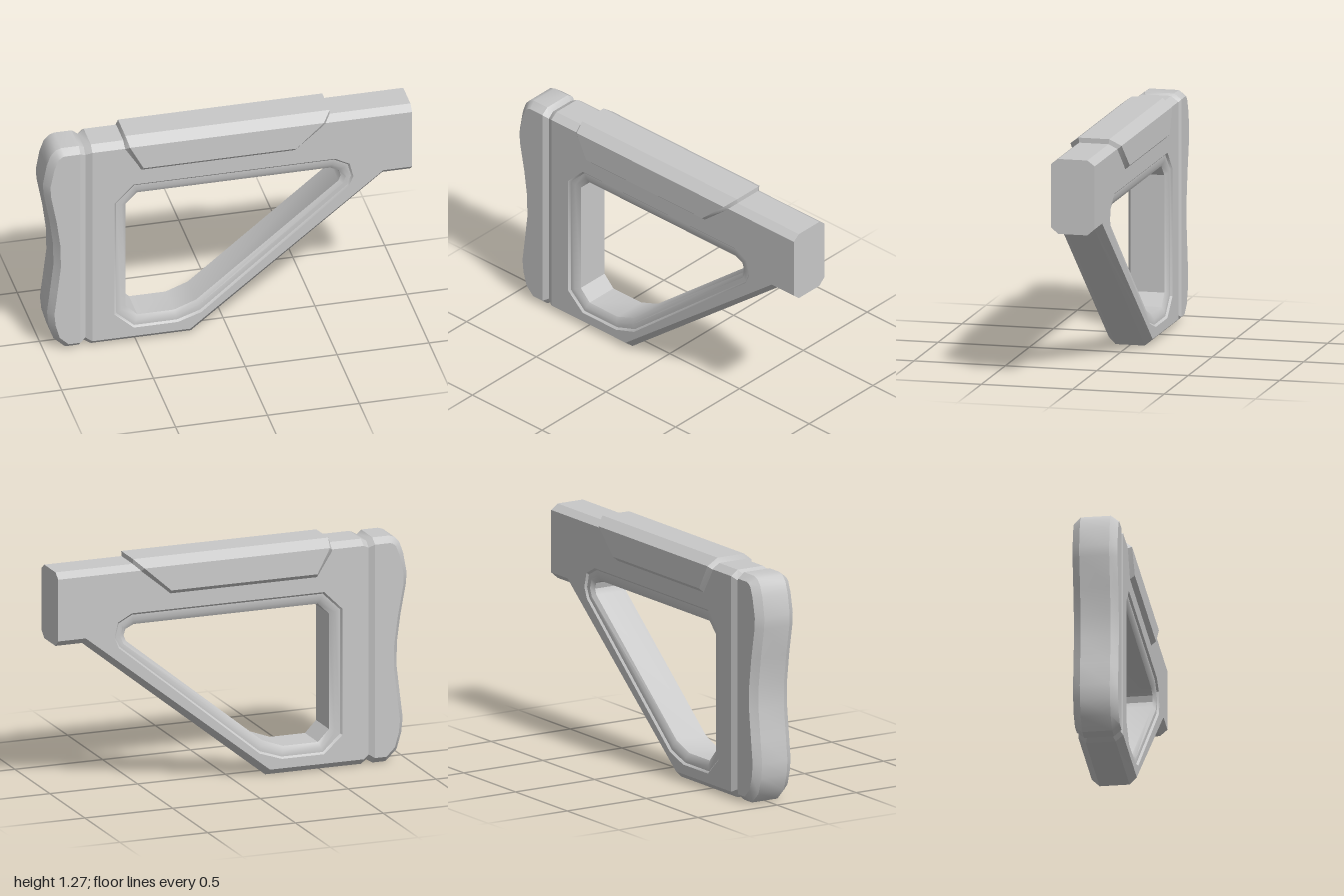
import * as THREE from 'three';
import { mergeGeometries, toCreasedNormals } from 'three/addons/utils/BufferGeometryUtils.js';

// Skin a grid of points: rows of equal length, optionally closed along each row
function skin(rows, closed = false) {
  const pos = [];
  const n = rows[0].length;
  for (let r = 0; r < rows.length - 1; r++) {
    for (let i = 0; i < (closed ? n : n - 1); i++) {
      const j = (i + 1) % n;
      const a = rows[r][i], b = rows[r][j], c = rows[r + 1][j], d = rows[r + 1][i];
      pos.push(...a, ...b, ...c, ...a, ...c, ...d);
    }
  }
  const g = new THREE.BufferGeometry();
  g.setAttribute('position', new THREE.Float32BufferAttribute(pos, 3));
  g.computeVertexNormals();
  return g;
}

const atZ = (pts, z) => pts.map(([x, y]) => [x, y, z]);
const toVec = (pts) => pts.map(([x, y]) => new THREE.Vector2(x, y));

// Flat side wall facing +z (sign 1) or -z (sign -1)
function sideFace(outline, hole, z, sign) {
  const shape = new THREE.Shape(toVec(outline));
  if (hole) shape.holes.push(new THREE.Path(toVec(hole)));
  const g = new THREE.ShapeGeometry(shape);
  if (sign < 0) g.setIndex(Array.from(g.index.array).reverse());
  g.translate(0, 0, sign * z);
  const flat = g.toNonIndexed();
  flat.deleteAttribute('uv');
  flat.computeVertexNormals();
  return flat;
}

const HALF = 0.12; // half thickness at the side walls
const EDGE = 0.08; // half thickness where the chamfer ends

// Chamfered slab between an outer silhouette and an inset side outline
function slab(outer, inner, hole) {
  return [
    skin([atZ(inner, -HALF), atZ(outer, -EDGE), atZ(outer, EDGE), atZ(inner, HALF)]),
    sideFace(inner, hole, HALF, 1),
    sideFace(inner, hole, HALF, -1),
  ];
}

export function createModel() {
  const group = new THREE.Group();
  const grey = new THREE.MeshStandardMaterial({ color: 0xc8c8c8 });
  grey.name = 'lightGrey';
  const add = (name, parts) => {
    const mesh = new THREE.Mesh(toCreasedNormals(mergeGeometries(parts), 0.58), grey);
    mesh.name = name;
    group.add(mesh);
  };

  // Triangular opening: border of the recess, and the opening itself
  const border = [[-0.62, 0.876], [-0.515, 0.98], [0.58, 0.98], [0.66, 0.937], [0.68, 0.857],
    [0.655, 0.797], [-0.147, 0.13], [-0.275, 0.087], [-0.515, 0.087], [-0.62, 0.183]];
  const opening = [[-0.553, 0.85], [-0.49, 0.912], [0.56, 0.912], [0.607, 0.89], [0.617, 0.857],
    [0.605, 0.825], [-0.17, 0.195], [-0.29, 0.15], [-0.49, 0.15], [-0.553, 0.215]];
  const between = (t) => border.map(([x, y], i) =>
    [x + (opening[i][0] - x) * t, y + (opening[i][1] - y) * t]);
  const steps = [[0, HALF], [0.16, 0.109], [0.6, 0.109], [1, 0.093]];
  const holeRows = [
    ...steps.map(([t, z]) => atZ(between(t), -z)),
    ...steps.slice().reverse().map(([t, z]) => atZ(between(t), z)),
  ];

  // Frame with chamfered top and bottom edges
  const frameOuter = [[-0.74, 0], [-0.195, 0], [0.847, 0.835], [1, 0.835], [1, 1.24], [-0.74, 1.24]];
  const frameInner = [[-0.74, 0.035], [-0.207, 0.035], [0.843, 0.87], [1, 0.87], [1, 1.21], [-0.74, 1.21]];
  add('frame', slab(frameOuter, frameInner, border));
  add('openingRim', [skin(holeRows, true)]);

  // Curved butt pad
  const padOuter = [[-0.805, 1.24], [-0.9, 1.24], [-0.93, 1.23], [-0.958, 1.2], [-0.98, 1.14], [-1, 1.03],
    [-0.997, 0.97], [-0.965, 0.8], [-0.945, 0.65], [-0.943, 0.52], [-0.962, 0.36], [-0.978, 0.23],
    [-0.97, 0.15], [-0.943, 0.06], [-0.88, 0], [-0.805, 0]];
  const padInner = [[-0.805, 1.21], [-0.89, 1.21], [-0.907, 1.205], [-0.925, 1.188], [-0.946, 1.135], [-0.968, 1.03],
    [-0.966, 0.97], [-0.934, 0.8], [-0.914, 0.65], [-0.912, 0.52], [-0.931, 0.36], [-0.947, 0.23],
    [-0.94, 0.16], [-0.918, 0.082], [-0.87, 0.035], [-0.805, 0.035]];
  add('buttPad', slab(padOuter, padInner));

  // Shallow V groove between pad and frame
  const section = (x, d) => {
    const z = HALF - d, e = EDGE - d * 0.7;
    return [[x, 1.24 - d, -e], [x, 1.24 - d, e], [x, 1.21 - d, z], [x, 0.035 + d, z],
      [x, d, e], [x, d, -e], [x, 0.035 + d, -z], [x, 1.21 - d, -z]];
  };
  add('padGroove', [skin([section(-0.805, 0), section(-0.775, 0.018), section(-0.74, 0)], true)]);

  // Cheek rest saddle: each row runs inner end, outer end, outer end, inner end
  const half = [
    [[-0.475, 1.065, 0.118], [-0.475, 1.065, 0.118], [0.36, 1.065, 0.118], [0.36, 1.065, 0.118]],
    [[-0.485, 1.08, 0.117], [-0.467, 1.09, 0.145], [0.365, 1.09, 0.145], [0.38, 1.08, 0.117]],
    [[-0.565, 1.205, 0.117], [-0.54, 1.225, 0.14], [0.515, 1.225, 0.14], [0.53, 1.205, 0.117]],
    [[-0.565, 1.235, 0.08], [-0.552, 1.267, 0.084], [0.56, 1.267, 0.084], [0.56, 1.235, 0.08]],
  ];
  const mirrored = half.slice().reverse().map((row) => row.map(([x, y, z]) => [x, y, -z]));
  add('cheekRest', [skin([...half, ...mirrored])]);

  return group;
}
